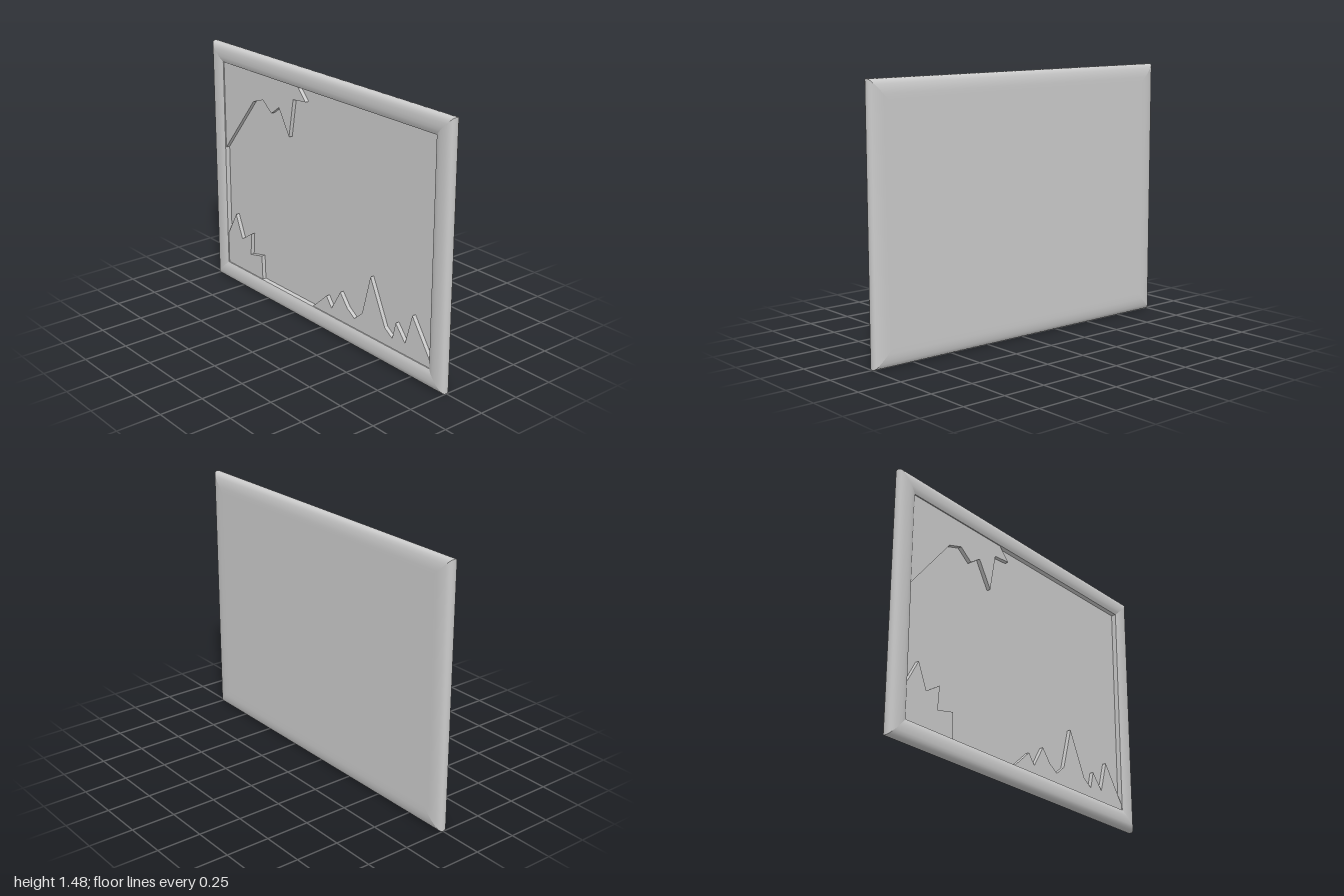
import * as THREE from 'three';

const H = 1.48;            // overall height, width is 2
const INSET = 0.108;       // width of the frame border
const PANEL_Z = -0.005;    // depth of the recessed panel
const SHARD_Z = 0.018;     // front of the broken pieces

const material = new THREE.MeshStandardMaterial({ color: 0xcccccc });

function addMesh(group, name, geometry) {
  const mesh = new THREE.Mesh(geometry, material);
  mesh.name = name;
  group.add(mesh);
  return mesh;
}

// Sweep a profile of [inset, z] points around the rectangle with mitred corners.
function mitredRing(profile) {
  const corners = [[-1, 0], [1, 0], [1, 1], [-1, 1]];
  const at = ([sx, top], [d, z]) => [sx * (1 - d), top ? H - d : d, z];
  const positions = [], index = [];
  for (let side = 0; side < 4; side++) {
    const base = positions.length / 3;
    profile.forEach((p, i) => {
      positions.push(...at(corners[side], p), ...at(corners[(side + 1) % 4], p));
      if (i === profile.length - 1) return;
      const a = base + i * 2;
      index.push(a, a + 1, a + 3, a, a + 3, a + 2);
    });
  }
  const geometry = new THREE.BufferGeometry();
  geometry.setAttribute('position', new THREE.Float32BufferAttribute(positions, 3));
  geometry.setIndex(index);
  geometry.computeVertexNormals();
  return geometry;
}

// Jagged flat piece lying on the panel.
function shard(points) {
  const shape = new THREE.Shape(points.map(([x, y]) => new THREE.Vector2(x, y)));
  const geometry = new THREE.ExtrudeGeometry(shape, { depth: SHARD_Z - PANEL_Z, bevelEnabled: false });
  geometry.translate(0, 0, PANEL_Z);
  return geometry;
}

export function createModel() {
  const group = new THREE.Group();
  group.name = 'brokenPictureFrame';

  // Rounded moulding, from the back around the outer edge to the inner lip
  addMesh(group, 'frameMoulding', mitredRing([
    [0.11, -0.037], [0.075, -0.037], [0.05, -0.035], [0.027, -0.03], [0.01, -0.023],
    [0.002, -0.012], [0, 0], [0.001, 0.012], [0.006, 0.023], [0.018, 0.031],
    [0.035, 0.035], [0.055, 0.036], [0.075, 0.035], [0.092, 0.031], [INSET, 0.024],
  ]));
  addMesh(group, 'frameInnerWall', mitredRing([[INSET, 0.024], [INSET, PANEL_Z]]));

  // Flat back board and the recessed front panel
  const back = addMesh(group, 'backBoard', new THREE.PlaneGeometry(2 - 0.22, H - 0.22));
  back.position.set(0, H / 2, -0.037);
  back.rotation.y = Math.PI;
  const panel = addMesh(group, 'picturePanel', new THREE.PlaneGeometry(2 - 2 * INSET, H - 2 * INSET));
  panel.position.set(0, H / 2, PANEL_Z);

  // Broken glass left in three corners
  const x = 1 - INSET, bottom = INSET, top = H - INSET;
  addMesh(group, 'glassShardTop', shard([
    [-x, 0.85], [-0.61, 1.195], [-0.52, 1.225], [-0.44, 1.165], [-0.37, 1.215],
    [-0.28, 1.065], [-0.24, 1.29], [-0.13, 1.3], [-0.2, top], [-x, top],
  ]));
  addMesh(group, 'glassShardBottomRight', shard([
    [-x, bottom], [-0.55, bottom], [-0.555, 0.255], [-0.665, 0.23], [-0.655, 0.365],
    [-0.75, 0.305], [-0.81, 0.445], [-x, 0.3],
  ]));
  addMesh(group, 'glassShardBottomLeft', shard([
    [-0.07, bottom], [0.05, 0.215], [0.095, 0.155], [0.17, 0.28], [0.23, 0.205],
    [0.29, 0.165], [0.355, 0.22], [0.42, 0.46], [0.54, 0.205], [0.6, 0.165],
    [0.625, 0.265], [0.7, 0.175], [0.75, 0.355], [x, 0.145], [x, bottom],
  ]));

  return group;
}
